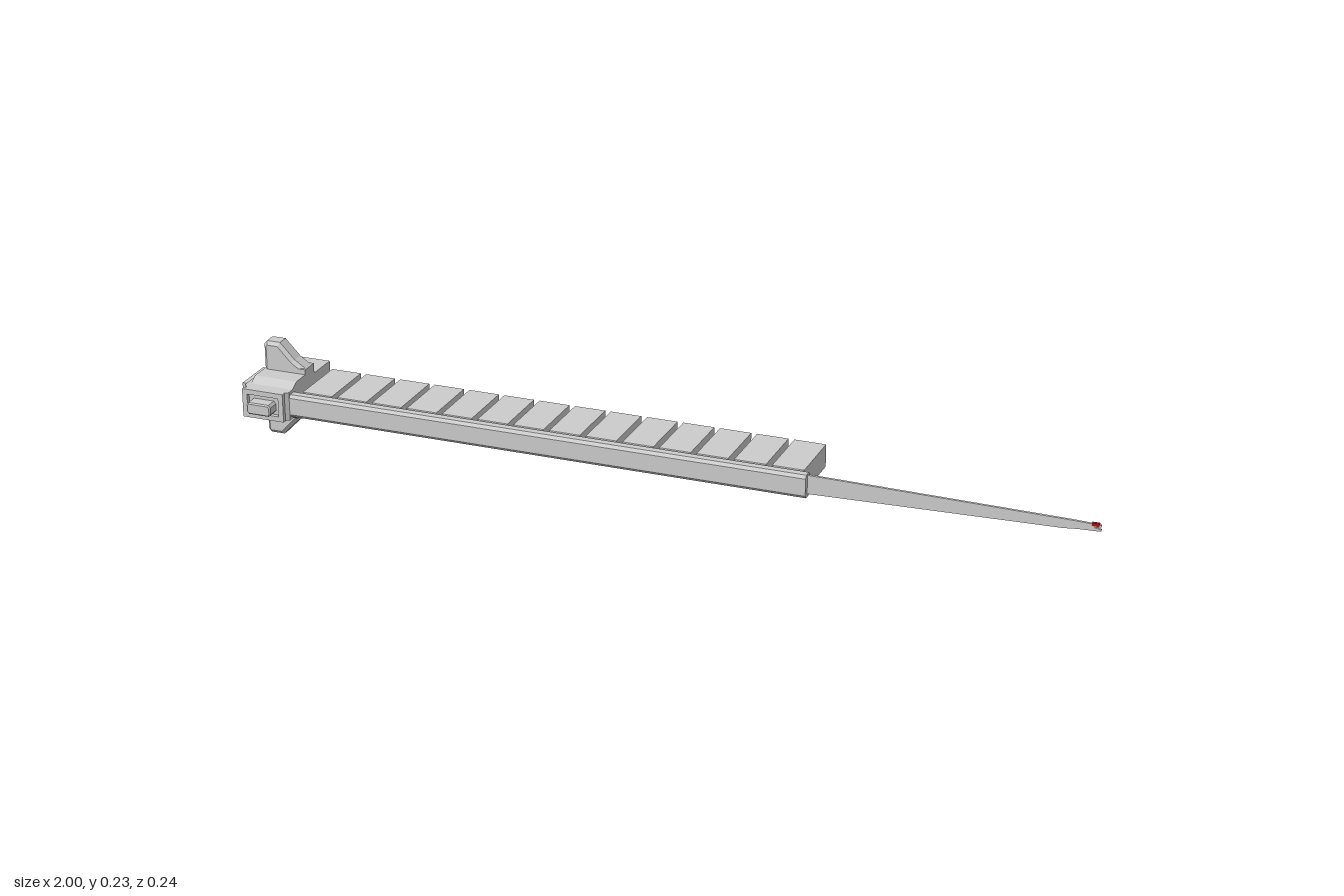
import * as THREE from 'three';

const grey = new THREE.MeshStandardMaterial({ color: 0xcccccc, flatShading: true });
const red = new THREE.MeshStandardMaterial({ color: 0xaa1111, flatShading: true });
const MID_Y = 0.117;

const shapeOf = (pts) => new THREE.Shape(pts.map(([x, y]) => new THREE.Vector2(x, y)));
const rect = (x0, x1, y0, y1) => [[x0, y0], [x1, y0], [x1, y1], [x0, y1]];

// Extrudes a shape over z0..z1, with chamfers kept inside that range
function extrude(shape, z0, z1, bevel = 0) {
  const g = new THREE.ExtrudeGeometry(shape, {
    depth: z1 - z0 - 2 * bevel, bevelEnabled: bevel > 0, bevelThickness: bevel,
    bevelSize: bevel, bevelOffset: -bevel, bevelSegments: 1,
  });
  return g.translate(0, 0, z0 + bevel);
}

// Rectangle with a rectangular opening
function frameShape(x0, x1, y0, y1, border) {
  const s = shapeOf(rect(x0, x1, y0, y1));
  s.holes.push(shapeOf(rect(x0 + border, x1 - border, y0 + border, y1 - border)));
  return s;
}

export function createModel() {
  const model = new THREE.Group();
  const add = (name, geometry, parent = model, material = grey) => {
    const m = new THREE.Mesh(geometry, material);
    m.name = name;
    parent.add(m);
    return m;
  };
  const box = (name, x0, x1, y0, y1, z0, z1, parent, material) =>
    add(name, new THREE.BoxGeometry(x1 - x0, y1 - y0, z1 - z0)
      .translate((x0 + x1) / 2, (y0 + y1) / 2, (z0 + z1) / 2), parent, material);

  // Row of chamfered blocks
  const blocks = new THREE.Group();
  blocks.name = 'blockRow';
  model.add(blocks);
  const pitch = 0.0865;
  const blockGeo = extrude(shapeOf(rect(0, 0.073, 0.09, 0.143)), -0.1, 0.056, 0.004);
  for (let i = 0; i < 14; i++) add('block', blockGeo, blocks).position.x = -0.851 + i * pitch;

  // Long rail with chamfered corners along the front, profile in (z, y)
  const rail = shapeOf([[0.055, 0.094], [0.06, 0.09], [0.077, 0.09], [0.083, 0.097],
    [0.083, 0.137], [0.077, 0.144], [0.06, 0.144], [0.055, 0.14]]);
  add('rail', extrude(rail, -0.36, 0.88).rotateY(-Math.PI / 2));

  // Thin tapering blade with a forked tip
  const blade = shapeOf([[0.35, 0.097], [0.92, 0.112], [0.95, 0.115], [1, 0.117], [1, 0.121],
    [0.985, 0.124], [1, 0.127], [1, 0.131], [0.94, 0.133], [0.35, 0.141]]);
  add('blade', extrude(blade, 0.064, 0.07));
  box('tipLight', 0.98, 0.996, 0.127, 0.134, 0.0635, 0.0705, model, red);

  const head = new THREE.Group();
  head.name = 'head';
  model.add(head);

  // Head body: plan outline in (x, z)
  const plan = shapeOf([[-0.985, -0.06], [-0.945, -0.112], [-0.87, -0.112], [-0.87, 0.083],
    [-0.878, 0.09], [-0.972, 0.09], [-0.985, 0.075]]);
  add('headBody', extrude(plan, 0, 0.068).rotateX(Math.PI / 2).translate(0, 0.151, 0), head);

  // Thicker middle collar, profile in (z, y)
  const collar = shapeOf([[0.067, 0.085], [0.067, 0.15], [0.045, 0.163], [-0.043, 0.163],
    [-0.043, 0.072], [0.045, 0.072]].reverse());
  add('headCollar', extrude(collar, 0.87, 0.975).rotateY(-Math.PI / 2), head);

  // Upper and lower fins
  const fin = [[-0.975, 0], [-0.87, 0], [-0.87, 0.056], [-0.9, 0.076], [-0.935, 0.113],
    [-0.968, 0.113], [-0.975, 0.105]];
  for (const side of [1, -1]) {
    const pts = fin.map(([x, y]) => [x, MID_Y + side * y]);
    add(side > 0 ? 'upperFin' : 'lowerFin', extrude(shapeOf(pts), -0.043, 0.001, 0.008), head);
    // Stepped foot on the inner side of the fin
    const y = MID_Y + side * 0.052;
    box('finFoot', -0.95, -0.87, y - 0.006, y + 0.006, -0.043, 0.001, head);
  }

  // Recessed frames on the front, back and outer end
  add('frontFrame', extrude(frameShape(-0.98, -0.878, 0.083, 0.151, 0.012), 0.089, 0.1), head);
  add('backFrame', extrude(frameShape(-0.945, -0.87, 0.083, 0.151, 0.01), -0.121, -0.111), head);
  add('endFrame', extrude(frameShape(-0.04, 0.06, 0.09, 0.147, 0.01), 0.984, 1)
    .rotateY(-Math.PI / 2), head);
  for (let i = 0; i < 3; i++) {
    const z = -0.02 + i * 0.024;
    box('endRib', -0.994, -0.98, 0.105, 0.132, z, z + 0.012, head);
  }

  // Front plug seated in its recess
  add('plug', extrude(shapeOf([[-0.955, 0.1], [-0.905, 0.1], [-0.9, 0.106], [-0.9, 0.122],
    [-0.905, 0.128], [-0.955, 0.128], [-0.96, 0.122], [-0.96, 0.106]]), 0.088, 0.121, 0.003), head);
  return model;
}
